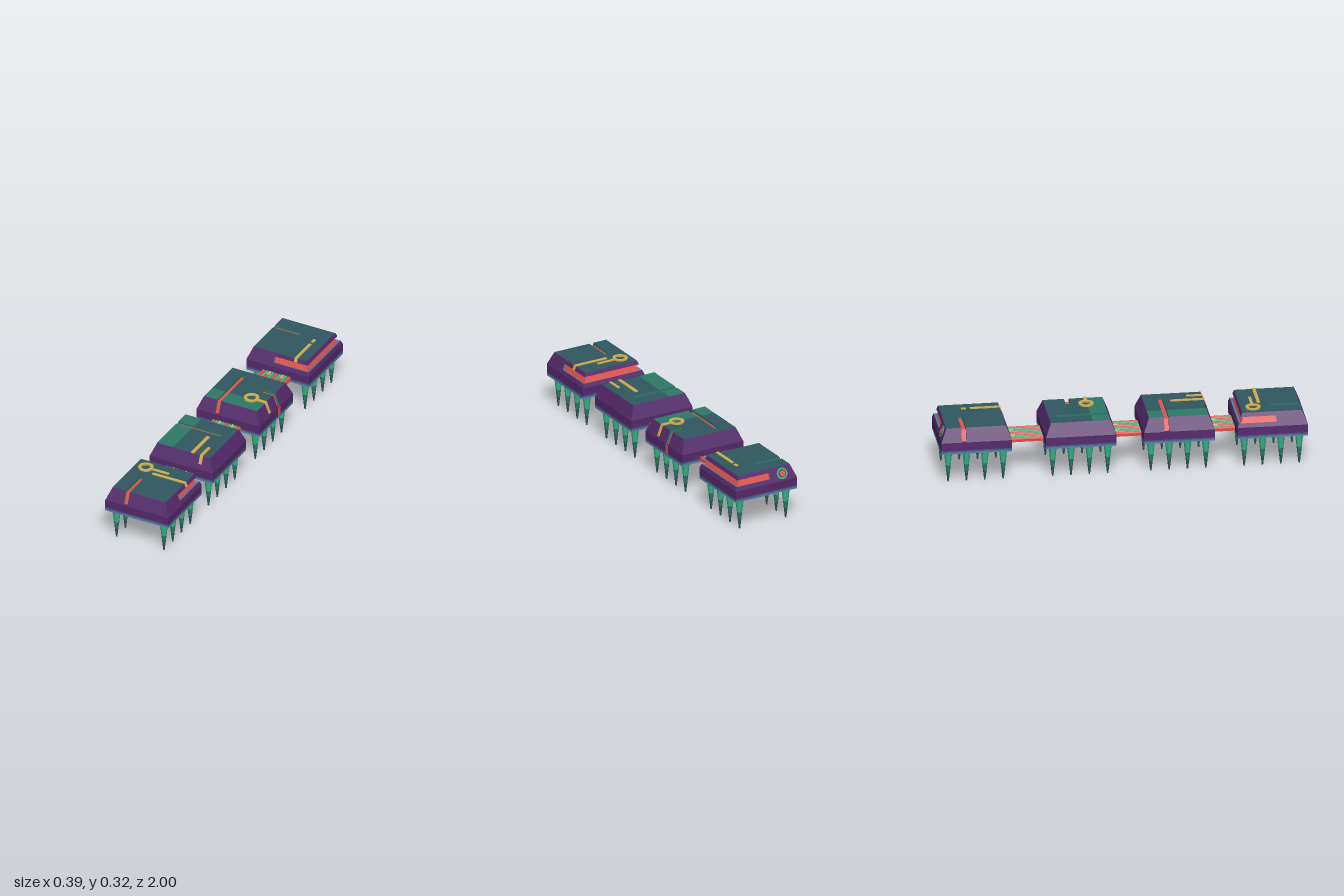
import * as THREE from 'three';

const mat = (name, color, extra = {}) => Object.assign(new THREE.MeshStandardMaterial({ color, ...extra }), { name });
const M = {
  purple: mat('purple shell', 0x562a6c),
  teal: mat('dark teal', 0x30585f),
  sea: mat('sea green', 0x2d7a69),
  green: mat('bright green', 0x36b68a),
  red: mat('red', 0xe3534c),
  gold: mat('gold', 0xcfae52),
  blue: mat('steel blue', 0x4f86a6),
  indigo: mat('indigo', 0x54548c),
};

// Shell sizes
const HALF = 0.1925, TOP = 0.1625, Y0 = 0.175, Y1 = 0.195, Y2 = 0.24, Y3 = 0.315, DEPTH = 0.014;
const RISE = Y3 - Y2, RUN = HALF - TOP, SLOPE = Math.hypot(RISE, RUN), INF = 9;

function add(parent, name, geo, material, x = 0, y = 0, z = 0) {
  const m = new THREE.Mesh(geo, material);
  m.name = name;
  m.position.set(x, y, z);
  parent.add(m);
  return m;
}

const box = (parent, name, material, x0, x1, y0, y1, z0, z1) =>
  add(parent, name, new THREE.BoxGeometry(x1 - x0, y1 - y0, z1 - z0), material,
    (x0 + x1) / 2, (y0 + y1) / 2, (z0 + z1) / 2);

// Split rectangles [u0,u1,v0,v1] by a cutting rectangle into outside and inside pieces
function split(rects, [a, b, c, d]) {
  const out = [], inside = [];
  const keep = (list, r) => { if (r[1] - r[0] > 1e-5 && r[3] - r[2] > 1e-5) list.push(r); };
  for (const [u0, u1, v0, v1] of rects) {
    const A = Math.max(a, u0), B = Math.min(b, u1), C = Math.max(c, v0), D = Math.min(d, v1);
    if (A >= B || C >= D) { out.push([u0, u1, v0, v1]); continue; }
    keep(out, [u0, u1, v0, C]);
    keep(out, [u0, u1, D, v1]);
    keep(out, [u0, A, C, D]);
    keep(out, [B, u1, C, D]);
    inside.push([A, B, C, D]);
  }
  return { out, inside };
}

// Shell panel made of the pieces left around its slots; width(v) is the half width
function panel(parent, name, rects, width, face, wall) {
  const shapes = rects.map(([u0, u1, v0, v1]) => {
    const p = (u, v) => new THREE.Vector2(THREE.MathUtils.clamp(u, -width(v), width(v)), v);
    return new THREE.Shape([p(u0, v0), p(u1, v0), p(u1, v1), p(u0, v1)]);
  });
  if (!shapes.length) return;
  const geo = new THREE.ExtrudeGeometry(shapes, { depth: DEPTH, bevelEnabled: false });
  geo.translate(0, 0, -DEPTH);
  add(parent, name, geo, [face, wall]);
}

// Frame lying on a sloped side: 0 front, 1 left (+x), 2 back, 3 right (-x)
function sideFrame(parent, k) {
  const turn = new THREE.Group(), tilt = new THREE.Group();
  turn.name = ['frontSide', 'leftSide', 'backSide', 'rightSide'][k];
  turn.rotation.y = k * Math.PI / 2;
  tilt.name = 'slopedFace';
  tilt.position.set(0, Y2, HALF);
  tilt.rotation.x = -Math.atan2(RUN, RISE);
  turn.add(tilt);
  parent.add(turn);
  return tilt;
}

const slopeV = y => (y - Y2) / RISE * SLOPE;

function ring(parent, x, z) {
  const s = new THREE.Shape().absarc(0, 0, 0.042, 0, Math.PI * 2);
  s.holes.push(new THREE.Path().absarc(0, 0, 0.025, 0, Math.PI * 2, true));
  const g = new THREE.ExtrudeGeometry(s, { depth: 0.009, bevelEnabled: false, curveSegments: 12 });
  add(parent, 'goldRing', g.rotateX(-Math.PI / 2), M.gold, x, Y3 - 0.001, z);
}

// Tapered leg in three colour bands
function leg(parent, x, z) {
  const g = new THREE.Group();
  g.name = 'leg';
  const r = y => 0.004 + 0.019 * y / Y0;
  [[0, 0.055, M.teal], [0.055, 0.097, M.sea], [0.097, Y0, M.green]].forEach(([a, b, m]) =>
    add(g, 'legBand', new THREE.CylinderGeometry(r(b), r(a), b - a, 12), m, 0, (a + b) / 2, 0));
  g.position.set(x, 0, z);
  parent.add(g);
}

const wrap = [slopeV(0.262), slopeV(0.294)];
const modules = [
  { z: 0.807, // front segment
    top: [[-0.083, -0.057, -INF, 0]],
    sides: [[-0.083, -0.057, -INF, INF], [-0.04, INF, ...wrap], [-INF, INF, ...wrap], [-INF, 0.025, ...wrap]],
    wrapped: [1, 2, 3], rings: [[-0.097, -0.095]],
    lines: [[-0.058, 0.045, -0.103, -0.087], [-0.035, 0.166, -0.066, -0.048]],
    drops: [[1, 0.057, 0.295]] },
  { z: 0.298,
    top: [[-INF, 0.11, 0.055, 0.081]], patch: [-INF, -0.065, -INF, INF],
    sides: [null, null, null, [-0.081, -0.055, -INF, INF]],
    wrapped: [], rings: [],
    lines: [[0.045, 0.065, -0.018, 0.166], [0.103, 0.119, 0.077, 0.166]],
    drops: [[0, 0.111, 0.27]] },
  { z: -0.237,
    top: [[-0.083, -0.057, -INF, 0.12], [0.09, INF, 0.02, 0.047]], patch: [-INF, INF, -INF, -0.067],
    sides: [[-0.083, -0.057, -INF, INF], [0.02, 0.047, -INF, INF], null, null],
    wrapped: [], rings: [[0.075, 0.062]],
    lines: [[0.114, 0.166, 0.055, 0.075]],
    drops: [[1, -0.065, 0.255]] },
  { z: -0.807, // rear segment
    top: [[-INF, 0, 0.055, 0.081]],
    sides: [[-0.03, INF, ...wrap], [-INF, INF, ...wrap], [-INF, 0.03, ...wrap], [-0.081, -0.055, -INF, INF]],
    wrapped: [0, 1, 2], rings: [],
    lines: [[0.089, 0.107, 0.002, 0.166], [0.089, 0.107, -0.048, -0.02]],
    drops: [[0, 0.098, 0.296]] },
];

function segment(d, index) {
  const g = new THREE.Group();
  g.name = 'segment' + (index + 1);
  g.position.z = d.z;

  // Base bands, lower wall and the red core seen through the slots
  box(g, 'underside', M.teal, -0.19, 0.19, Y0 - 0.001, Y0 + 0.002, -0.19, 0.19);
  box(g, 'lowerBand', M.blue, -HALF, HALF, Y0, 0.186, -HALF, HALF);
  box(g, 'upperBand', M.indigo, -HALF, HALF, 0.186, Y1, -HALF, HALF);
  box(g, 'lowerWall', M.purple, -HALF, HALF, Y1, Y2, -HALF, HALF);
  const inset = DEPTH * SLOPE / RISE, coreH = RISE - DEPTH;
  const lo = HALF - inset, hi = lo - coreH * RUN / RISE;
  const core = new THREE.CylinderGeometry(hi * Math.SQRT2, lo * Math.SQRT2, coreH, 4).toNonIndexed();
  core.rotateY(Math.PI / 4);
  core.computeVertexNormals();
  add(g, 'slotFloor', core, M.red, 0, Y2 + coreH / 2, 0);

  // Top deck with its slots and coloured patch
  const deck = new THREE.Group();
  deck.name = 'deck';
  deck.position.y = Y3;
  deck.rotation.x = -Math.PI / 2;
  g.add(deck);
  const parts = split([[-TOP, TOP, -TOP, TOP]], d.patch || [INF, INF, INF, INF]);
  [[parts.out, M.teal], [parts.inside, M.sea]].forEach(([rects, m]) => {
    for (const s of d.top) rects = split(rects, s).out;
    panel(deck, 'deckPlate', rects, () => TOP, m, M.sea);
  });

  // Sloped sides with their slots
  const frames = [0, 1, 2, 3].map(k => {
    const f = sideFrame(g, k), full = [[-INF, INF, 0, SLOPE]];
    const rects = d.sides[k] ? split(full, d.sides[k]).out : full;
    panel(f, 'slopedPanel', rects, v => HALF - RUN * v / SLOPE, M.purple,
      d.wrapped.includes(k) ? M.blue : M.sea);
    return f;
  });

  // Gold inlays
  d.rings.forEach(([x, z]) => ring(g, x, z));
  d.lines.forEach(([x0, x1, z0, z1]) => box(g, 'goldLine', M.gold, x0, x1, Y3 - 0.001, Y3 + 0.005, z0, z1));
  d.drops.forEach(([k, u, y]) =>
    box(frames[k], 'goldDrop', M.gold, u - 0.009, u + 0.009, slopeV(y), SLOPE + 0.002, -0.001, 0.005));

  for (const x of [-0.145, 0.145]) for (const z of [-0.15, -0.05, 0.05, 0.15]) leg(g, x, z);
  return { g, frames };
}

// Bundle of pipes bridging two segments
function connector(z0, z1) {
  const g = new THREE.Group();
  g.name = 'connector';
  box(g, 'pipeTray', M.red, -0.095, 0.08, 0.185, 0.194, z0, z1);
  for (let i = 0; i < 9; i++) {
    const x = -0.0855 + i * 0.0195;
    const pipe = new THREE.CylinderGeometry(0.009, 0.009, z1 - z0, 10).rotateX(Math.PI / 2);
    add(g, 'pipe', pipe, i % 2 ? M.green : M.red, x, 0.199, (z0 + z1) / 2);
    if (i % 4 === 2) {
      const collar = new THREE.CylinderGeometry(0.0105, 0.0105, 0.035, 10).rotateX(Math.PI / 2);
      add(g, 'pipeCollar', collar, M.gold, x, 0.199, z0 + 0.022);
    }
  }
  return g;
}

export function createModel() {
  const root = new THREE.Group();
  root.name = 'segmentedCrawler';
  const built = modules.map(segment);
  built.forEach(b => root.add(b.g));

  // Red slot continuing down the lower wall of the third segment
  box(built[2].g, 'slotTail', M.red, HALF - 0.002, HALF + 0.001, 0.19, Y2, -0.047, -0.02);

  // Round lamp on the back
  [[0.032, 0.003, M.green], [0.023, 0.005, M.teal], [0.017, 0.008, M.red]].forEach(([r, h, m]) =>
    add(built[3].frames[2], 'lamp', new THREE.CylinderGeometry(r, r, h, 20).rotateX(Math.PI / 2), m,
      0.105, slopeV(0.277), h / 2));

  for (let i = 0; i < 3; i++) root.add(connector(modules[i + 1].z + HALF - 0.005, modules[i].z - HALF + 0.005));
  return root;
}
